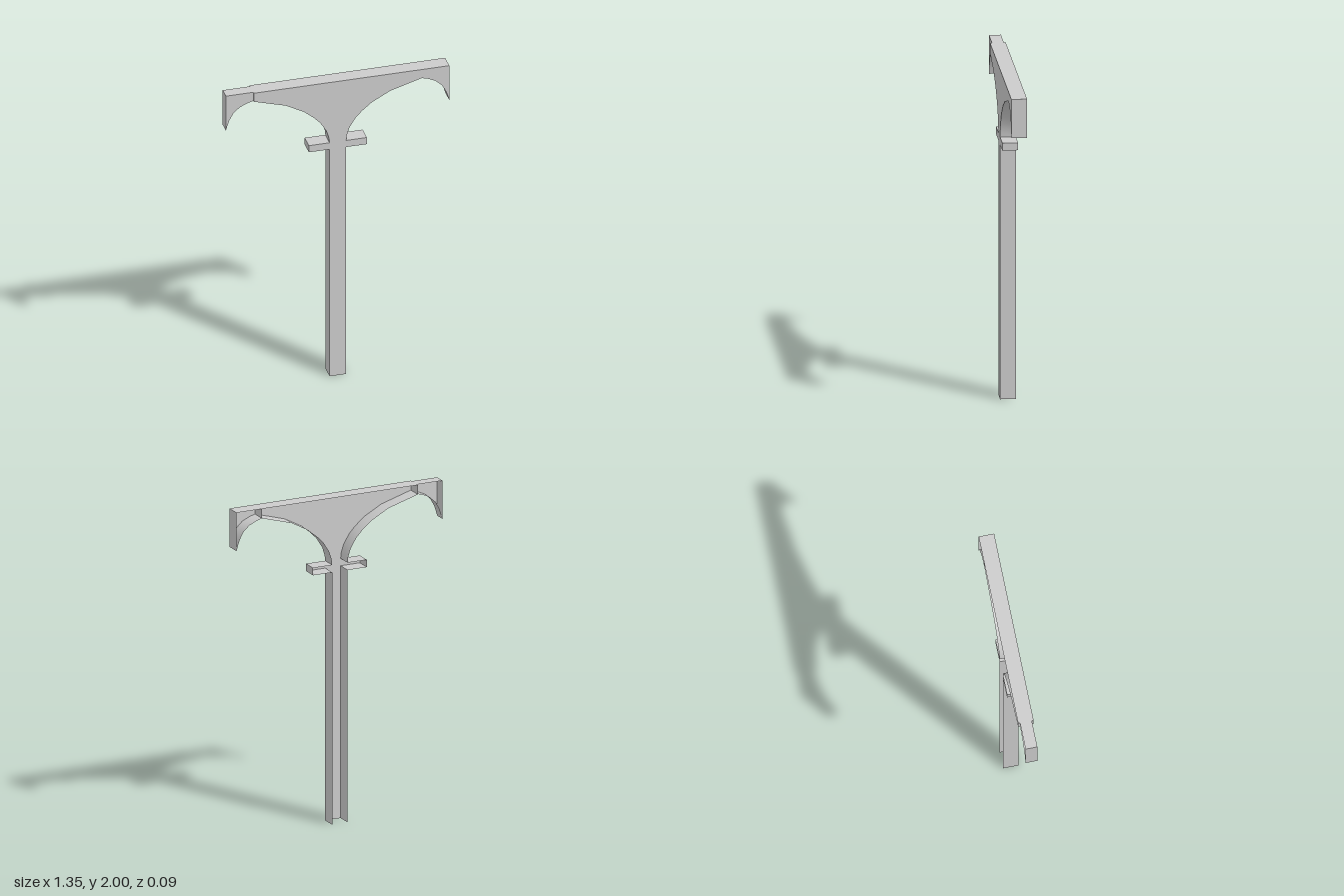
import * as THREE from 'three';

const DEPTH = 0.046;      // half depth of the channel
const ARM_DEPTH = 0.035;  // half depth of the narrower end arm
const material = new THREE.MeshStandardMaterial({ color: 0xcccccc, side: THREE.DoubleSide });

// Half outlines, mirrored for the other side
const POST = [[0.05, 0], [0.05, 1.545]];
const BRACKET = [[0.05, 1.545], [0.175, 1.545], [0.175, 1.59], [0.05, 1.59]];
const ARCH = [[0.05, 1.59], [0.054, 1.625], [0.07, 1.675], [0.107, 1.735], [0.145, 1.775],
  [0.205, 1.825], [0.315, 1.885], [0.507, 1.942]];
const ARM = [[0.507, 1.942], [0.545, 1.931], [0.59, 1.91], [0.628, 1.875], [0.653, 1.83],
  [0.666, 1.79], [0.673, 1.765]];
const END = [[0.673, 1.765], [0.673, 2]];

const flip = (pts) => pts.map(([x, y]) => [-x, y]);

// Strip swept along z, smooth along its length
function ribbon(name, pts, half) {
  const pos = [], index = [];
  pts.forEach(([x, y], i) => {
    pos.push(x, y, half, x, y, -half);
    if (i) {
      const a = 2 * i - 2;
      index.push(a, a + 1, a + 2, a + 1, a + 3, a + 2);
    }
  });
  const geo = new THREE.BufferGeometry();
  geo.setAttribute('position', new THREE.Float32BufferAttribute(pos, 3));
  geo.setIndex(index);
  geo.computeVertexNormals();
  const mesh = new THREE.Mesh(geo, material);
  mesh.name = name;
  return mesh;
}

// Flat front plate
function plate(name, pts, z) {
  const shape = new THREE.Shape(pts.map(([x, y]) => new THREE.Vector2(x, y)));
  const mesh = new THREE.Mesh(new THREE.ShapeGeometry(shape), material);
  mesh.name = name;
  mesh.position.z = z;
  return mesh;
}

export function createModel() {
  const model = new THREE.Group();
  model.name = 'archedColumn';

  // Front faces: post, brackets and spandrel in one plate, plus the two end arms
  const half = [...POST, ...BRACKET.slice(1), ...ARCH.slice(1), [0.507, 2]];
  model.add(plate('frontFace', [...half, ...flip(half).reverse()], DEPTH));
  const armFace = [...ARM, [0.673, 2], [0.507, 2]];
  model.add(plate('leftArmFace', armFace, DEPTH));
  model.add(plate('rightArmFace', flip(armFace).reverse(), ARM_DEPTH));

  for (const [side, map, armHalf] of [['left', (p) => p, DEPTH], ['right', flip, ARM_DEPTH]]) {
    const add = (part, pts, h = DEPTH) => model.add(ribbon(side + part, map(pts), h));
    add('PostWall', POST);
    // Bracket walls kept separate for sharp corners
    for (let i = 0; i < 3; i++) add('BracketWall', BRACKET.slice(i, i + 2));
    add('ArchFlange', ARCH);
    add('ArmFlange', ARM, armHalf);
    add('EndWall', END, armHalf);
    add('Divider', [[0.507, 1.942], [0.507, 2]]);
    add('TopPlate', [[0, 2], [0.507, 2]]);
    add('ArmTopPlate', [[0.507, 2], [0.673, 2]], armHalf);
  }
  return model;
}
